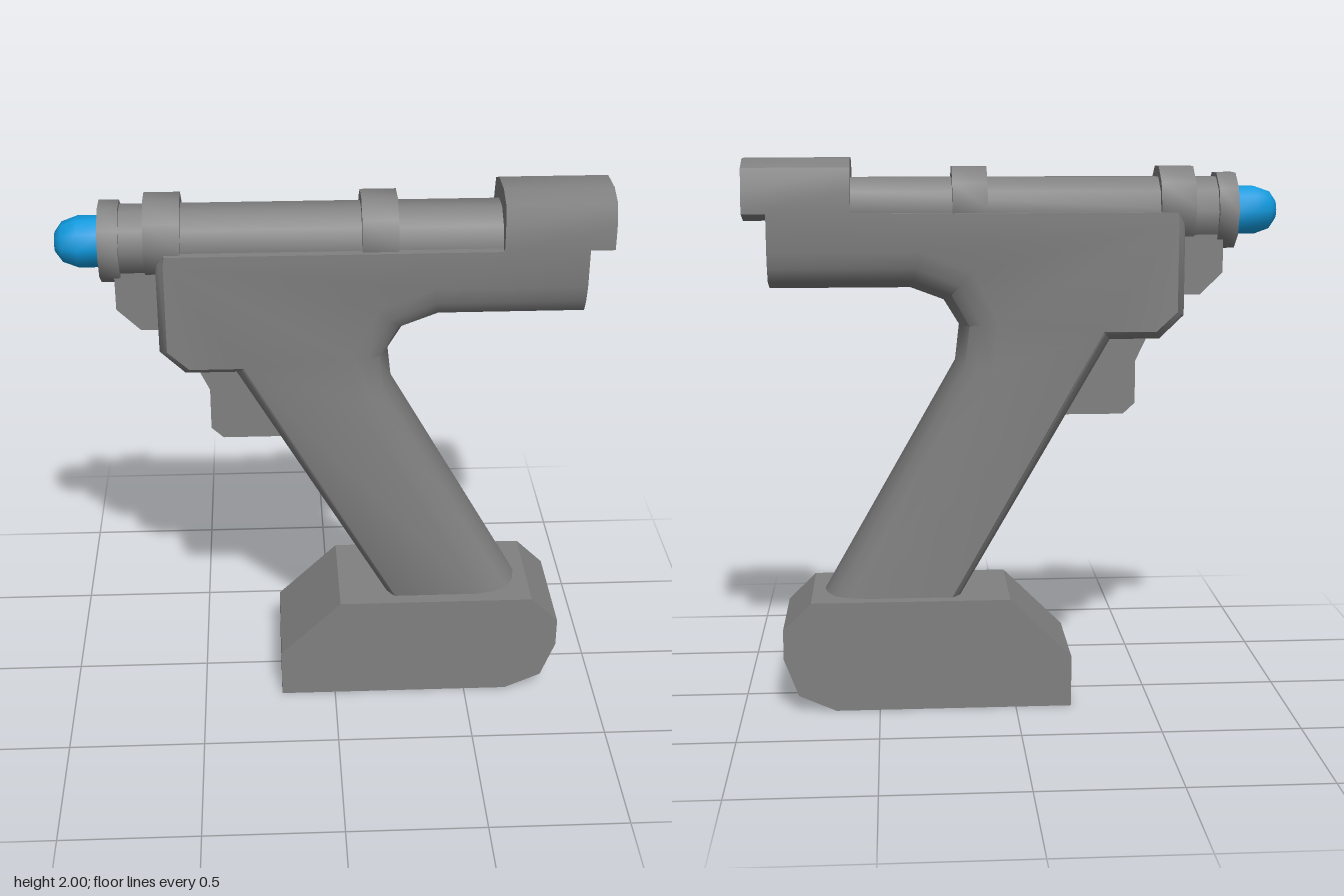
import * as THREE from 'three';
import { toCreasedNormals } from 'three/addons/utils/BufferGeometryUtils.js';

const grey = new THREE.MeshStandardMaterial({ color: 0x808080 });
grey.name = 'casing grey';
const blue = new THREE.MeshStandardMaterial({ color: 0x119ade });
blue.name = 'tip blue';

function add(group, name, geometry, material = grey) {
  const mesh = new THREE.Mesh(geometry, material);
  mesh.name = name;
  group.add(mesh);
  return mesh;
}

// Side profile in x/y, extruded evenly about z = 0
function slab(points, halfWidth, crease = 0.7) {
  const shape = new THREE.Shape(points.map(([x, y]) => new THREE.Vector2(x, y)));
  const g = new THREE.ExtrudeGeometry(shape, { depth: halfWidth * 2, bevelEnabled: false });
  g.translate(0, 0, -halfWidth);
  return toCreasedNormals(g, crease);
}

// Ten-sided tube along x with a flat top
function tube(x0, x1, y, r) {
  const g = new THREE.CylinderGeometry(r, r, x1 - x0, 10, 1);
  g.rotateZ(-Math.PI / 2);
  g.translate((x0 + x1) / 2, y, 0);
  return toCreasedNormals(g, 0.7);
}

// Body: outlines stacked across z; front edges are chamfered, rear edges rounded
function bodyGeometry() {
  // outer point, inner point, edge kind
  const outline = [
    [0.20, 0.41, 0.23, 0.41, 'front'],
    [0.70, 0.41, 0.54, 0.41, 'rear'],
    [0.21, 1.27, 0.08, 1.235, 'rear'],
    [0.195, 1.40, 0.06, 1.42, 'rear'],
    [0.25, 1.49, 0.15, 1.60, 'rear'],
    [0.37, 1.535, 0.34, 1.675, 'rear'],
    [0.875, 1.535, 0.875, 1.675, 'rear'],
    [0.875, 1.81, 0.875, 1.81, 'rear'],
    [-0.585, 1.81, -0.58, 1.81, 'front'],
    [-0.613, 1.77, -0.585, 1.78, 'front'],
    [-0.613, 1.44, -0.585, 1.455, 'front'],
    [-0.525, 1.355, -0.51, 1.385, 'front'],
    [-0.345, 1.355, -0.32, 1.385, 'front'],
  ];
  // z, front inset, rear inset
  const half = [[0.16, 1, 1], [0.145, 0.53, 0.57], [0.12, 0, 0.25], [0.06, 0, 0.07]];
  const layers = [
    ...half.map(([z, f, r]) => [-z, f, r]),
    [0, 0, 0],
    ...half.slice().reverse(),
  ];
  const n = outline.length;
  const position = [];
  const index = [];
  for (const [z, f, r] of layers) {
    for (const [ox, oy, ix, iy, kind] of outline) {
      const t = kind === 'front' ? f : r;
      position.push(ox + (ix - ox) * t, oy + (iy - oy) * t, z);
    }
  }
  for (let k = 0; k < layers.length - 1; k++) {
    for (let i = 0; i < n; i++) {
      const j = (i + 1) % n;
      const a = k * n + i, b = k * n + j;
      index.push(a, b, b + n, a, b + n, a + n);
    }
  }
  // flat side caps
  const side = outline.map((p) => new THREE.Vector2(p[2], p[3]));
  const top = (layers.length - 1) * n;
  for (const [a, b, c] of THREE.ShapeUtils.triangulateShape(side, [])) {
    index.push(top + a, top + b, top + c, a, c, b);
  }
  const g = new THREE.BufferGeometry();
  g.setAttribute('position', new THREE.Float32BufferAttribute(position, 3));
  g.setIndex(index);
  return toCreasedNormals(g, 0.75);
}

// Rear housing: rounded polygon section run along x
function housingGeometry() {
  const right = [[0.06, 2.0], [0.135, 1.97], [0.16, 1.89], [0.16, 1.81], [0.07, 1.782]];
  const section = [...right, ...right.slice().reverse().map(([z, y]) => [-z, y])];
  const g = slab(section, 0.19);
  g.rotateY(Math.PI / 2);
  g.translate(0.77, 0, 0);
  return g;
}

// Rounded tip, turned about x
function tipGeometry() {
  const profile = [[0.09, 0], [0.09, 0.075], [0.07, 0.13], [0.035, 0.155], [0, 0.155]];
  const g = new THREE.LatheGeometry(profile.map(([r, h]) => new THREE.Vector2(r, h)), 10);
  g.rotateZ(Math.PI / 2);
  g.translate(-0.805, 1.81, 0);
  return toCreasedNormals(g, 0.8);
}

export function createModel() {
  const model = new THREE.Group();
  model.name = 'handheld tool';

  add(model, 'bodyAndGrip', bodyGeometry());
  add(model, 'rearHousing', housingGeometry());

  // Base block under the grip
  add(model, 'batteryBase', slab([
    [-0.205, 0], [0.66, 0], [0.795, 0.06], [0.848, 0.2], [0.848, 0.31],
    [0.745, 0.41], [0.02, 0.41], [-0.205, 0.19],
  ], 0.207));

  // Barrel with its rings
  add(model, 'barrel', tube(-0.75, 0.6, 1.81, 0.127));
  add(model, 'frontCollar', tube(-0.805, -0.735, 1.81, 0.142));
  add(model, 'frontRing', tube(-0.65, -0.525, 1.828, 0.148));
  add(model, 'rearRing', tube(0.095, 0.22, 1.828, 0.148));
  add(model, 'tip', tipGeometry(), blue);

  // Block below the muzzle, and the trigger
  add(model, 'muzzleSupport', slab([
    [-0.757, 1.75], [-0.757, 1.59], [-0.675, 1.51], [-0.58, 1.51], [-0.58, 1.75],
  ], 0.09));
  add(model, 'trigger', slab([
    [-0.49, 1.37], [-0.443, 1.27], [-0.443, 1.115], [-0.40, 1.075],
    [-0.12, 1.075], [-0.28, 1.37],
  ], 0.09));

  return model;
}
